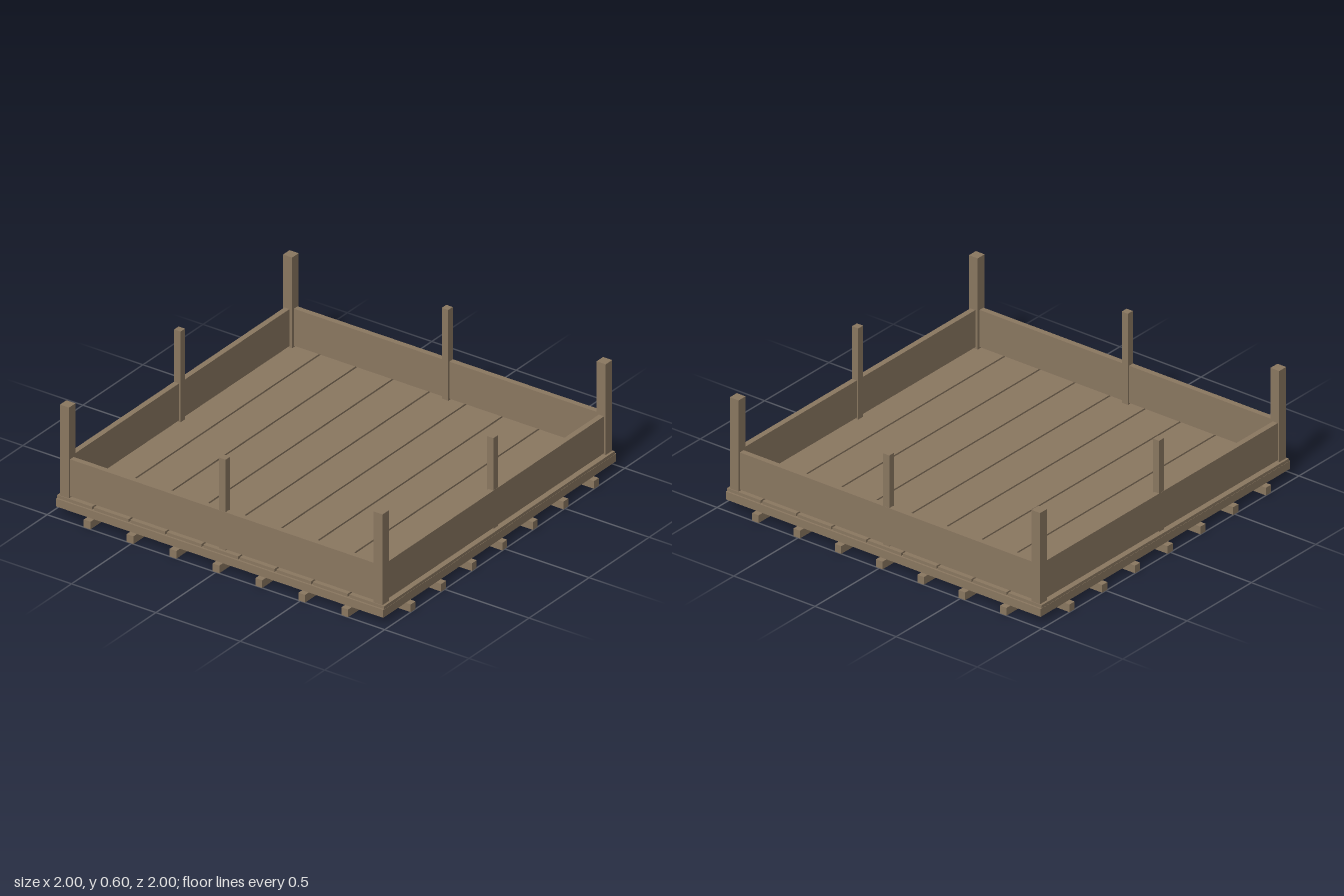
import * as THREE from 'three';

export function createModel() {
  const model = new THREE.Group();
  model.name = 'woodenPlatform';
  const wood = new THREE.MeshStandardMaterial({ color: 0x8b7861 });
  wood.name = 'weathered wood';

  // Box centred on x, z with its underside at y
  function box(name, parent, w, h, d, x, y, z) {
    const mesh = new THREE.Mesh(new THREE.BoxGeometry(w, h, d), wood);
    mesh.name = name;
    mesh.position.set(x, y + h / 2, z);
    parent.add(mesh);
    return mesh;
  }

  function group(name) {
    const g = new THREE.Group();
    g.name = name;
    model.add(g);
    return g;
  }

  // Crossed floor beams
  const lattice = group('beamLattice');
  for (let i = -3; i <= 3; i++) {
    const p = i * 0.2545;
    box('lengthBeam', lattice, 0.04, 0.042, 2, p, 0, 0);
    box('crossBeam', lattice, 2, 0.042, 0.04, 0, 0, p);
  }

  // Base panel resting on the beams
  box('basePanel', model, 1.94, 0.043, 1.94, 0, 0.042, 0);

  // Floor planks with narrow gaps
  const planks = group('floorPlanks');
  const pitch = 0.2164, gap = 0.01;
  for (let i = -4; i <= 4; i++) {
    box('plank', planks, 1.92, 0.016, pitch - gap, 0, 0.085, i * pitch);
  }

  // Four sides: low wall, middle post and corner post, turned around the centre
  for (let i = 0; i < 4; i++) {
    const side = group('side' + (i + 1));
    side.rotation.y = i * Math.PI / 2;
    box('wallBoard', side, 1.804, 0.203, 0.03, 0, 0.109, 0.932);
    box('middlePost', side, 0.038, 0.499, 0.038, 0, 0.101, 0.927);
    box('cornerPost', side, 0.054, 0.499, 0.054, 0.929, 0.101, 0.929);
  }

  return model;
}
